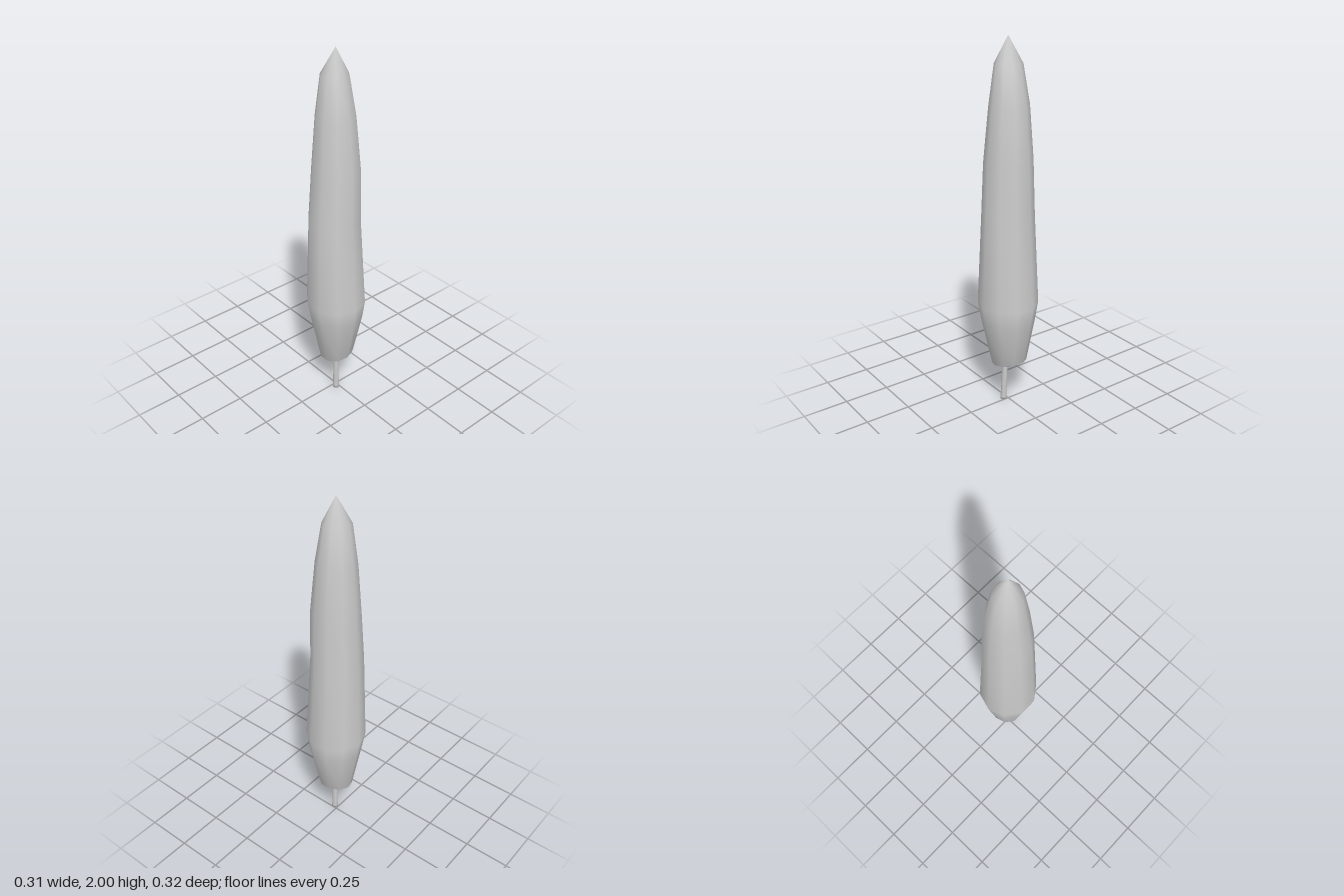
import * as THREE from 'three';
import { mergeVertices } from 'three/addons/utils/BufferGeometryUtils.js';

const SIDES = 10;

// Foliage rings, bottom to top: height, radius, centre x, centre z, tilt along x
const RINGS = [
  [0.195, 0, 0.0, -0.005, 0],
  [0.24, 0.094, 0.007, -0.002, 0.2],
  [0.5, 0.146, 0.002, 0.002, 0],
  [0.6, 0.162, 0, 0.001, 0],
  [1.1, 0.138, -0.005, -0.003, 0],
  [1.38, 0.127, 0.001, 0, 0.15],
  [1.66, 0.103, 0.002, -0.004, 0.1],
  [1.865, 0.072, -0.002, -0.004, 0],
  [2.0, 0, 0, 0, 0],
];

function makeFoliage() {
  const points = RINGS.map(([y, r]) => new THREE.Vector2(r, y));
  let geo = new THREE.LatheGeometry(points, SIDES);
  // Shift and tilt each ring for a slightly irregular, natural outline
  const pos = geo.attributes.position;
  for (let i = 0; i < pos.count; i++) {
    const [, , cx, cz, tilt] = RINGS[i % RINGS.length];
    const x = pos.getX(i);
    pos.setXYZ(i, x + cx, pos.getY(i) + tilt * x, pos.getZ(i) + cz);
  }
  // Weld the seam so the shading stays smooth all the way round
  geo.deleteAttribute('uv');
  geo.deleteAttribute('normal');
  geo = mergeVertices(geo, 1e-4);
  geo.computeVertexNormals();
  return geo;
}

function makeTrunk() {
  // Thin stem, flared at the foot and leaning slightly towards the centre
  const profile = [[0, 0], [0.018, 0], [0.018, 0.015], [0.016, 0.025], [0.015, 0.24]];
  const geo = new THREE.LatheGeometry(profile.map(([r, y]) => new THREE.Vector2(r, y)), 8);
  const pos = geo.attributes.position;
  for (let i = 0; i < pos.count; i++) {
    const y = pos.getY(i);
    pos.setX(i, pos.getX(i) - 0.016 + 0.03 * y);
    pos.setZ(i, pos.getZ(i) + 0.021 - 0.03 * y);
  }
  return geo;
}

export function createModel() {
  const group = new THREE.Group();
  group.name = 'cypressTree';
  const material = new THREE.MeshStandardMaterial({ color: 0xcccccc });
  const parts = { foliage: makeFoliage(), trunk: makeTrunk() };
  for (const [name, geometry] of Object.entries(parts)) {
    const mesh = new THREE.Mesh(geometry, material);
    mesh.name = name;
    group.add(mesh);
  }
  return group;
}
